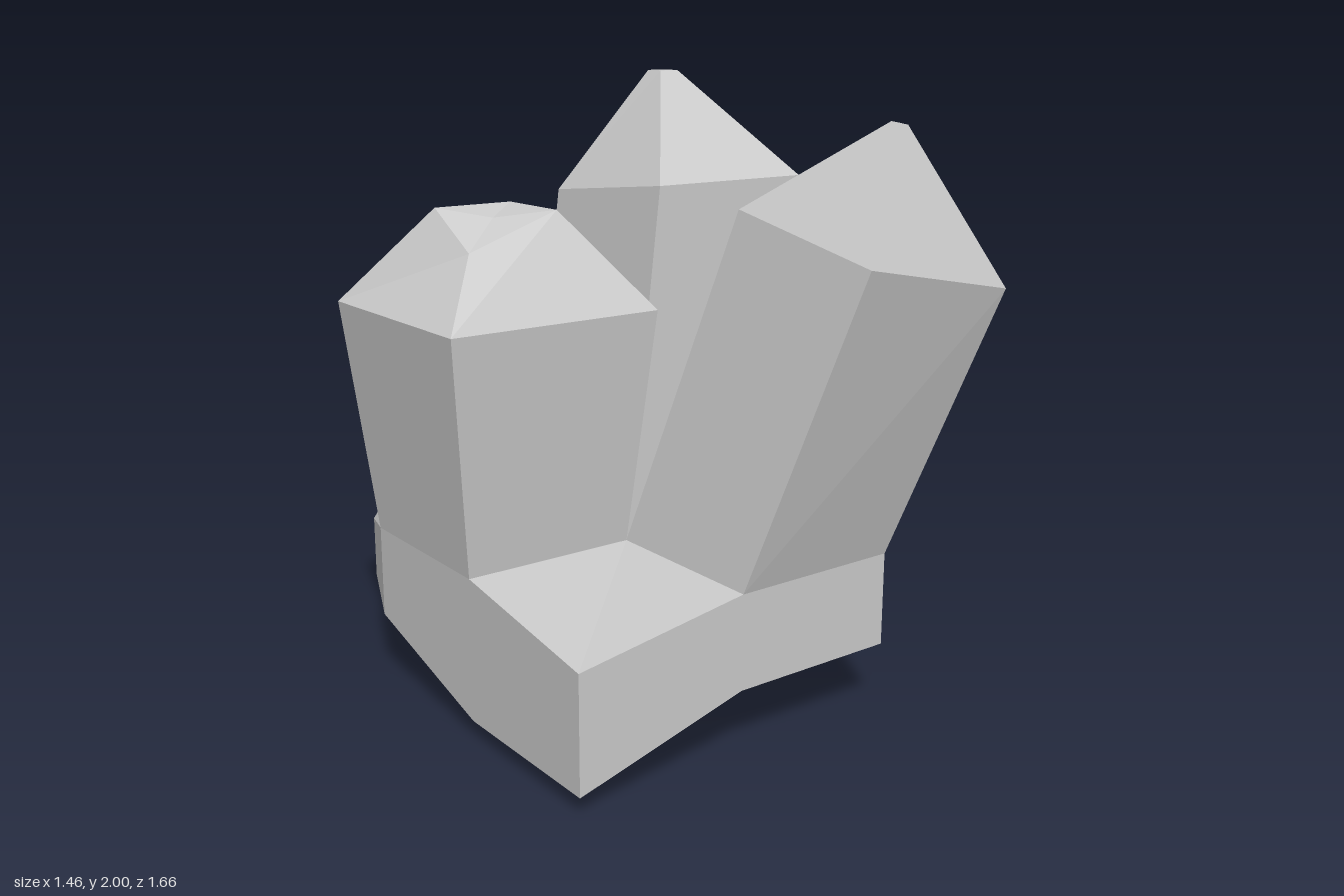
import * as THREE from 'three';

const material = new THREE.MeshStandardMaterial({ color: 0xcccccc, flatShading: true });

// Joins rings of [x, y, z] points, listed counterclockwise from above, bottom ring first; both ends are capped.
function loft(name, rings, topCentre) {
  const pos = [];
  const tri = (a, b, c) => {
    const area = new THREE.Triangle(new THREE.Vector3(...a), new THREE.Vector3(...b), new THREE.Vector3(...c)).getArea();
    if (area > 1e-7) pos.push(...a, ...b, ...c);
  };
  const middle = (ring) => [0, 1, 2].map((k) => ring.reduce((s, p) => s + p[k], 0) / ring.length);
  const n = rings[0].length;
  const first = rings[0], last = rings[rings.length - 1];
  const low = middle(first), high = topCentre || middle(last);
  for (let i = 0; i < n; i++) {
    const j = (i + 1) % n;
    for (let r = 0; r + 1 < rings.length; r++) {
      const a = rings[r], b = rings[r + 1];
      tri(a[i], a[j], b[j]);
      tri(a[i], b[j], b[i]);
    }
    tri(first[j], first[i], low);
    tri(last[i], last[j], high);
  }
  const geometry = new THREE.BufferGeometry();
  geometry.setAttribute('position', new THREE.Float32BufferAttribute(pos, 3));
  geometry.computeVertexNormals();
  const mesh = new THREE.Mesh(geometry, material);
  mesh.name = name;
  return mesh;
}

// Rectangular ring: front left, front right, back right, back left; y is one height or one per corner.
function rect(x0, x1, zBack, zFront, y) {
  const h = Array.isArray(y) ? y : [y, y, y, y];
  return [[x0, h[0], zFront], [x1, h[1], zFront], [x1, h[2], zBack], [x0, h[3], zBack]];
}

export function createModel() {
  const group = new THREE.Group();
  group.name = 'crystalCluster';

  // Grid lines that divide the base into four cells
  const [xa, xb, xc] = [-0.655, -0.07, 0.513];
  const [za, zb, zc] = [-0.605, -0.02, 0.567];
  const top = 0.527, rim = 0.22, dip = 0.06;

  // Rock base with a tapered underside and one sunken corner
  const outline = (corner, side, y) => [
    [xa, corner, zc], [xb, y, zc], [xc, y, zc], [xc, y, za], [xa, y, za], [xa, side, zb],
  ];
  const foot = [
    [-0.29, 0, 0.2], [0.15, 0, 0.2], [0.15, 0, 0.2], [0.15, 0, -0.24], [-0.29, 0, -0.24], [-0.29, 0, 0.2],
  ];
  group.add(loft('base', [foot, outline(dip, dip, rim), outline(0.435, top, top)], [xb, top, zb]));

  // Short blunt crystal, back left of the base
  group.add(loft('shortCrystal', [
    rect(xa, xb, za, zb, top),
    rect(-0.73, 0.002, -0.682, 0.051, 1.288),
    [[-0.54, 1.487, -0.165], [-0.226, 1.595, -0.165], [-0.226, 1.595, -0.438], [-0.502, 1.595, -0.438]],
  ]));

  // Tall crystal, back right
  group.add(loft('tallCrystal', [
    rect(xb, xc, za, zb, top),
    rect(0.075, 0.657, -0.613, -0.035, [1.66, 1.66, 1.6, 1.6]),
    rect(0.33, 0.4, -0.44, -0.37, 2),
  ]));

  // Crystal leaning outwards, front right
  group.add(loft('leaningCrystal', [
    rect(xb, xc, zb, zc, top),
    [[0.143, 1.5, 0.83], [0.715, 1.39, 0.82], [0.725, 1.5, 0.248], [0.152, 1.61, 0.256]],
    rect(0.416, 0.45, 0.616, 0.65, [1.877, 1.87, 1.873, 1.88]),
  ]));

  // Small bud on the back of the base
  const bud = (front, back, zf, zr, yf, yr) => [
    [front[0], yf, zf], [front[1], yf, zf], [back[1], yr, zr], [back[0], yr, zr],
  ];
  group.add(loft('budCrystal', [
    bud([xa, xb], [-0.567, -0.162], za, -0.835, rim, 0.27),
    bud([xa, xb], [-0.567, -0.162], za, -0.835, top, 0.48),
    bud([-0.55, -0.18], [-0.515, -0.212], -0.677, -0.765, 0.634, 0.618),
  ]));

  return group;
}
